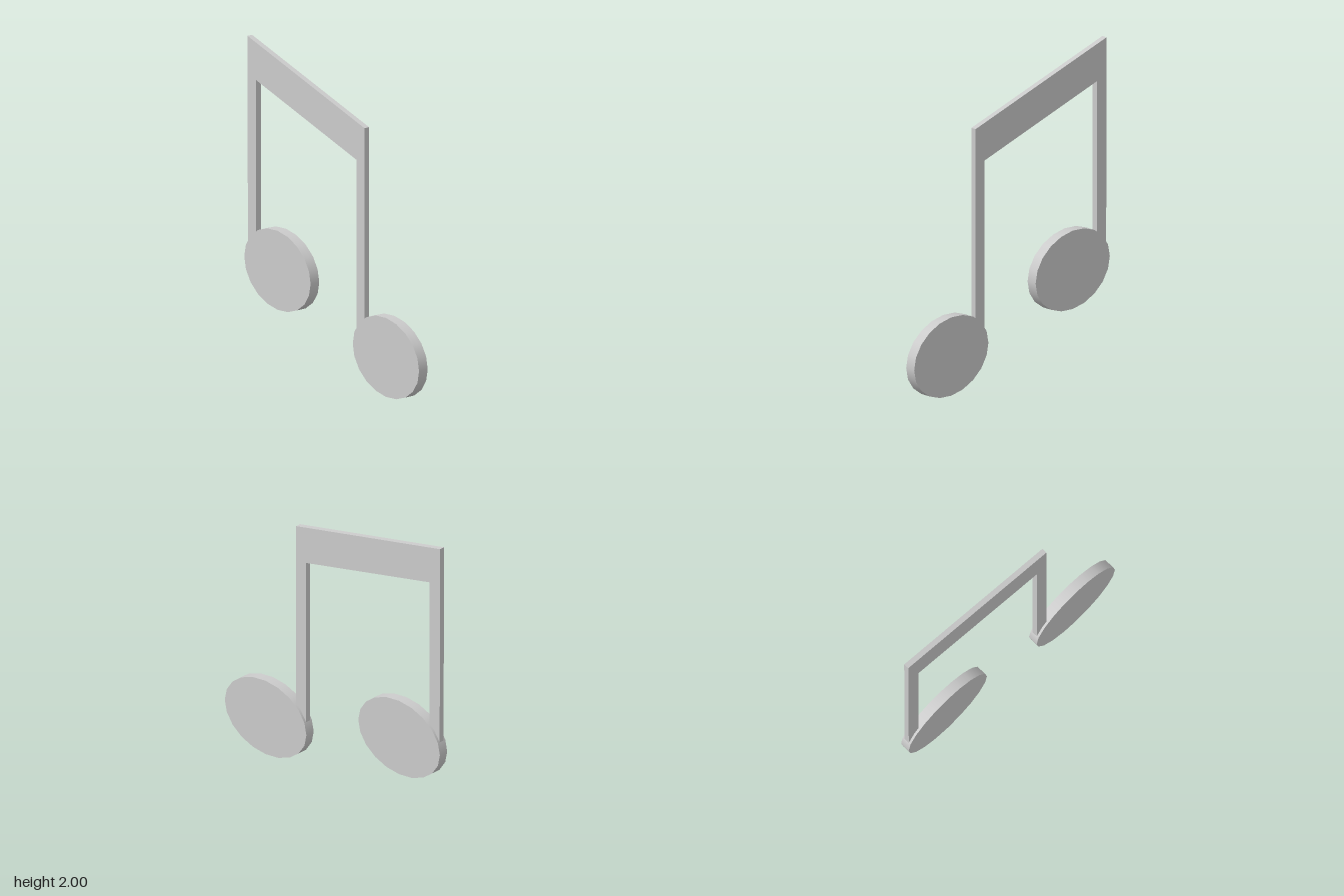
import * as THREE from 'three';

const material = new THREE.MeshStandardMaterial({ color: 0xcccccc });

// Flat oval note head, lying in the z-y plane
function noteHead(name, z, y) {
  const geometry = new THREE.CylinderGeometry(1, 1, 0.068, 20);
  geometry.rotateZ(Math.PI / 2);
  geometry.scale(1, 0.262, 0.35);
  const head = new THREE.Mesh(geometry, material);
  head.name = name;
  head.position.set(0, y, z);
  return head;
}

export function createModel() {
  const model = new THREE.Group();
  model.name = 'musicNote';

  // Two stems joined by a slanted beam, drawn as (z, y) and ending inside the heads
  const outline = [
    [0.328, 0.27], [0.242, 0.27], [0.242, 1.483], [-0.815, 1.73],
    [-0.815, 0.54], [-0.903, 0.54], [-0.908, 2], [0.328, 1.715],
  ].map(([z, y]) => new THREE.Vector2(z, y));
  const thickness = 0.036;
  const geometry = new THREE.ExtrudeGeometry(new THREE.Shape(outline), {
    depth: thickness, bevelEnabled: false,
  });
  geometry.translate(0, 0, -thickness / 2);
  geometry.rotateY(-Math.PI / 2);
  const frame = new THREE.Mesh(geometry, material);
  frame.name = 'stemsAndBeam';

  model.add(frame, noteHead('frontNoteHead', 0.575, 0.264), noteHead('backNoteHead', -0.57, 0.538));
  return model;
}
